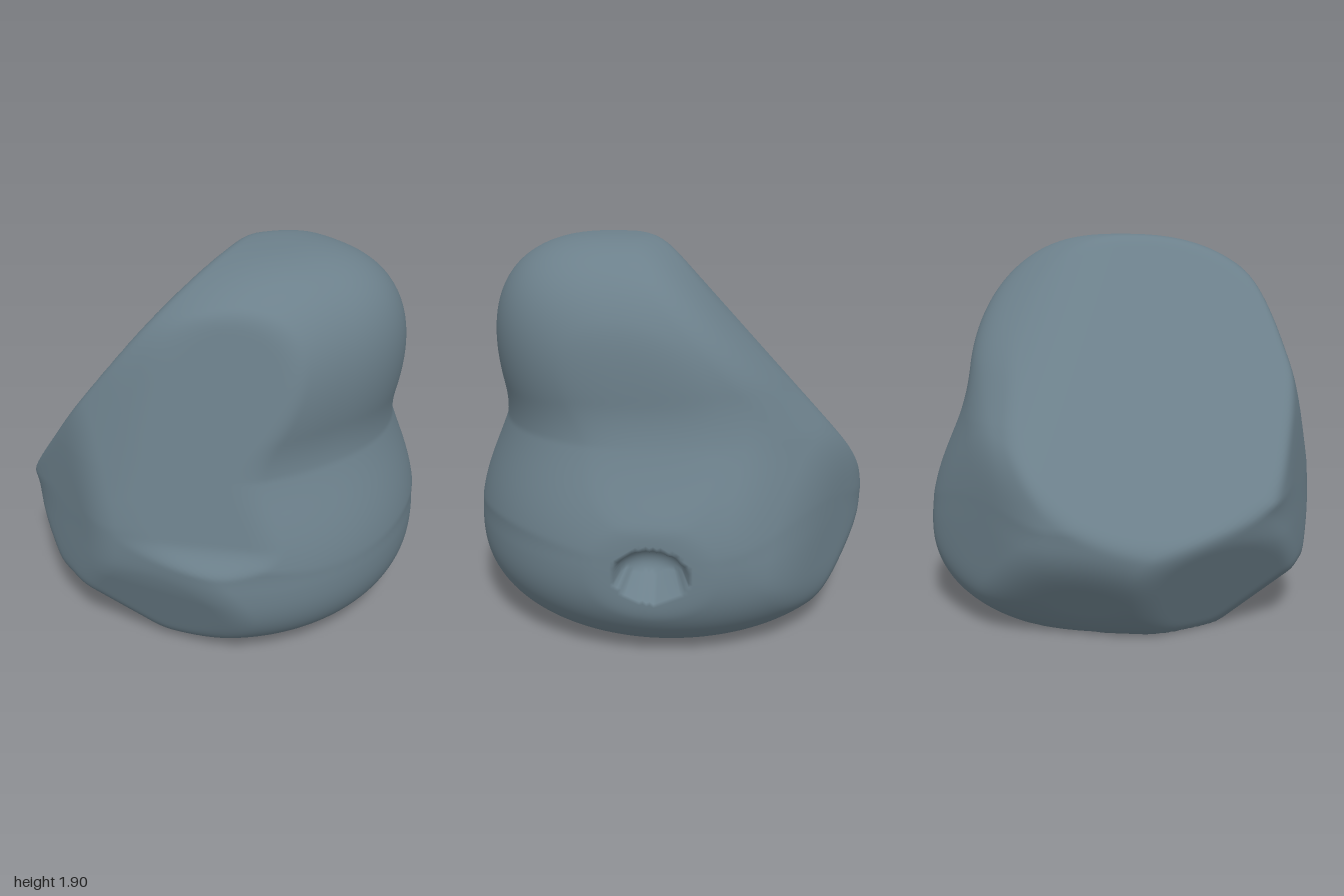
import * as THREE from 'three';
import { mergeVertices } from 'three/addons/utils/BufferGeometryUtils.js';

// Smooth minimum and maximum, for soft joins and soft facet edges
const smin = (a, b, k) => {
  const h = Math.max(k - Math.abs(a - b), 0) / k;
  return Math.min(a, b) - h * h * k * 0.25;
};
const smax = (a, b, k) => -smin(-a, -b, k);

// Length of (a, b) measured with a rounder or squarer exponent
const norm = (a, b, e) => Math.pow(Math.pow(Math.abs(a), e) + Math.pow(Math.abs(b), e), 1 / e);

// Chipped faces: outward normal, distance from the origin, edge softness
const facets = [
  [-0.678, 0.614, 0.404, 1.095, 0.03], // large slanted face
  [-0.72, 0.66, -0.15, 1.32, 0.12], // shoulder behind the slanted face
  [-0.69, 0.22, -0.69, 1.07, 0.06], // upper back left
  [-0.87, 0, -0.49, 0.93, 0.06], // lower back left
  [-0.78, -0.6, 0.1, 0.535, 0.08], // lower left
  [0, -0.79, 0.61, 0.375, 0.02], // undercut at the front
  [-0.55, -0.5, 0.67, 0.595, 0.04], // lower front left
  [0.5, -0.35, 0.79, 0.725, 0.04], // lower front right
  [0.45, 0.25, 0.86, 1.12, 0.06], // upper front right
  [0.55, 0, 0.83, 0.97, 0.05], // front right chamfer
  [0, 0.05, 1, 0.98, 0.05], // front
  [0, 0, -1, 0.97, 0.02], // back
].map(([x, y, z, d, k]) => ({ n: new THREE.Vector3(x, y, z).normalize(), d, k }));

// Negative inside the boulder, positive outside
function field(p) {
  const { x, y, z } = p;

  // Wide bulging foot, fuller below the slanted face
  const side = THREE.MathUtils.smoothstep(z - x, 0, 1);
  const low = y < 0.45;
  const b = low ? 0.56 : 0.78 + 0.28 * side;
  const foot = (norm(Math.hypot(x, z), (y - 0.45) / b, low ? 2.4 : 2) - 1) * 0.95;

  // Leaning upper body with a rounded crown
  const up = Math.max(y - 1, 0);
  const cx = x - 0.05 - 0.27 * up;
  const cz = z + 0.13 * up;
  const r = norm(cx / (cx > 0 ? 0.75 : 0.87), cz / (cz > 0 ? 0.91 : 0.77), 2.3);
  const upper = (norm(r, up / 0.9, 2.5) - 1) * 0.8;
  let f = smin(foot, Math.max(upper, 0.75 - y), 0.26);

  for (const { n, d, k } of facets) f = smax(f, n.dot(p) - d, k);

  // Hollow at the front right, ending in a sloping shelf
  const hollow = 0.72 * x + 0.2 * y + 0.69 * z - 1.045;
  f = smax(f, smin(hollow, y - 0.63 + hollow, 0.06), 0.03);

  // Shallow hollow up the back
  const back = -z - 0.785;
  f = smax(f, smin(back, y - 0.98 + 1.6 * back, 0.2), 0.05);

  // Small cavity low on the back
  const cavity = Math.hypot(x / 0.16, (y - 0.46) / 0.11, (z + 0.97) / 0.17) - 1;
  f = Math.max(f, -cavity * 0.1);

  // Flat underside
  return Math.max(f, -y);
}

export function createModel() {
  const group = new THREE.Group();
  group.name = 'boulder';
  const stone = new THREE.MeshStandardMaterial({ color: 0x6c808b });
  stone.name = 'blue grey stone';

  // Push every vertex of a fine sphere out to the stone surface
  let geometry = new THREE.IcosahedronGeometry(1, 60);
  geometry.deleteAttribute('uv');
  geometry.deleteAttribute('normal');
  geometry = mergeVertices(geometry, 1e-5);
  const centre = new THREE.Vector3(0.05, 0.75, 0);
  const pos = geometry.attributes.position;
  const dir = new THREE.Vector3();
  const p = new THREE.Vector3();
  for (let i = 0; i < pos.count; i++) {
    dir.fromBufferAttribute(pos, i).normalize();
    let near = 0;
    let far = 2;
    for (let s = 0; s < 24; s++) {
      const mid = (near + far) / 2;
      p.copy(centre).addScaledVector(dir, mid);
      if (field(p) < 0) near = mid;
      else far = mid;
    }
    p.copy(centre).addScaledVector(dir, near);
    pos.setXYZ(i, p.x, p.y, p.z);
  }
  geometry.computeVertexNormals();

  const rock = new THREE.Mesh(geometry, stone);
  rock.name = 'rock';
  group.add(rock);
  return group;
}
